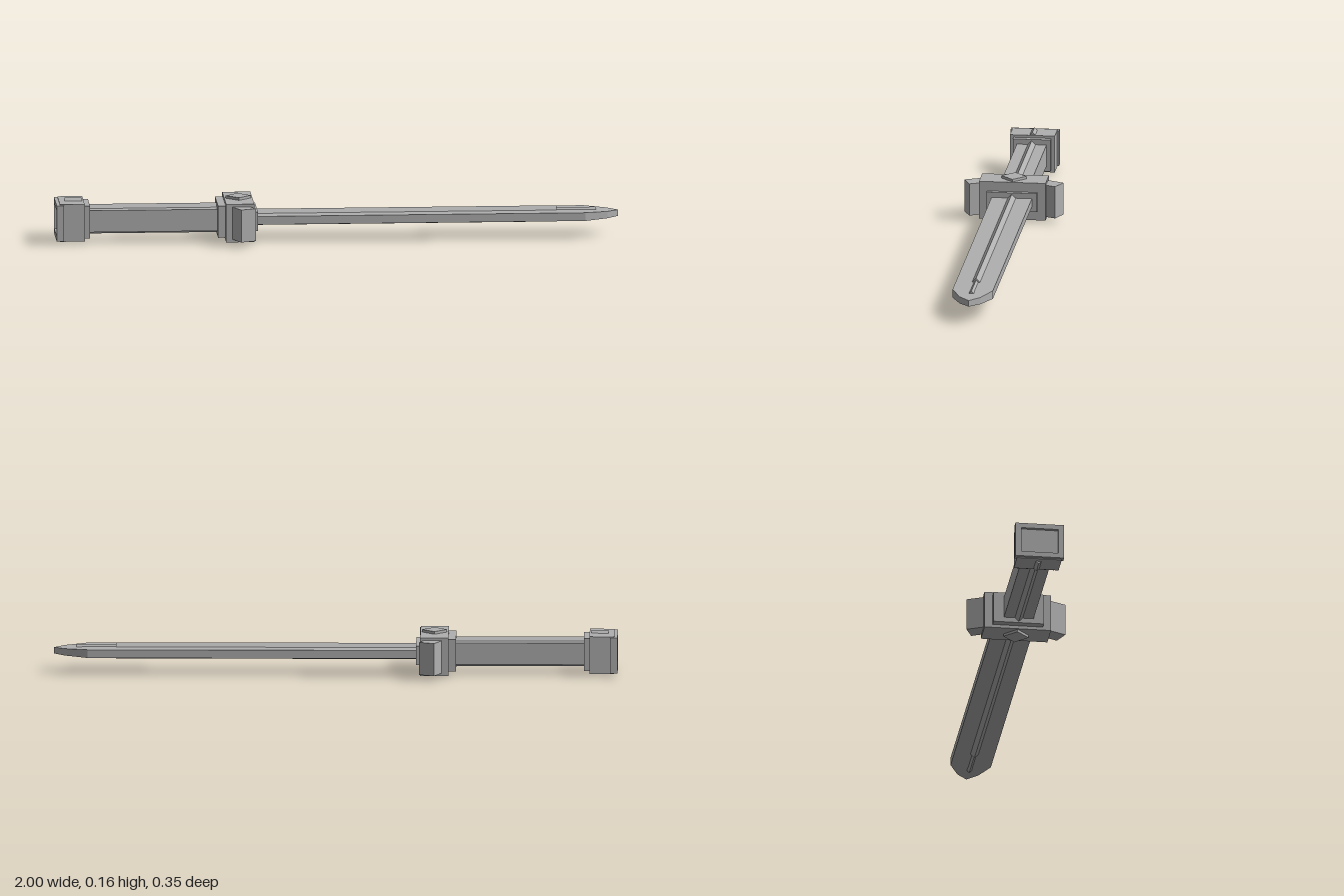
import * as THREE from 'three';

const MID = 0.078; // height of the sword's long axis

export function createModel() {
  const model = new THREE.Group();
  model.name = 'sword';
  const steel = new THREE.MeshStandardMaterial({ color: 0xb0b0b0 });
  steel.name = 'grey steel';

  const add = (name, geometry) => {
    const mesh = new THREE.Mesh(geometry, steel);
    mesh.name = name;
    mesh.position.y = MID;
    model.add(mesh);
    return mesh;
  };
  // Block from x0 to x1 with half height hy and half width hz
  const block = (name, x0, x1, hy, hz) =>
    add(name, new THREE.BoxGeometry(x1 - x0, hy * 2, hz * 2).translate((x0 + x1) / 2, 0, 0));
  // Square bar turned on edge, showing as a ridge above and below
  const ridge = (name, x0, x1, r) => {
    const s = r * Math.SQRT2;
    return add(name, new THREE.BoxGeometry(x1 - x0, s, s).rotateX(Math.PI / 4).translate((x0 + x1) / 2, 0, 0));
  };
  // Flat outline in x and z, thickened to half height hy
  const slab = (name, points, hy) => {
    const shape = new THREE.Shape(points.map(([x, z]) => new THREE.Vector2(x, -z)));
    const g = new THREE.ExtrudeGeometry(shape, { depth: hy * 2, bevelEnabled: false });
    return add(name, g.translate(0, 0, -hy).rotateX(-Math.PI / 2));
  };

  // Blade with a pointed tip that thins towards its end
  const bladeHalf = 0.0148;
  block('blade', -0.3, 0.88, bladeHalf, 0.072);
  const tip = slab('bladeTip', [[0.88, 0.072], [0.96, 0.037], [1, 0], [0.96, -0.037], [0.88, -0.072]], bladeHalf);
  const p = tip.geometry.attributes.position;
  for (let i = 0; i < p.count; i++) {
    p.setY(i, p.getY(i) * (1 - 0.25 * (p.getX(i) - 0.88) / 0.12));
  }
  tip.geometry.computeVertexNormals();
  ridge('bladeRidge', -0.3, 0.78, 0.029);
  ridge('bladeRidgeEnd', 0.78, 0.92, 0.0225);

  // Guard with a collar on each side and a square stud through it
  block('bladeCollar', -0.3, -0.285, 0.034, 0.09);
  block('guard', -0.4, -0.3, 0.0685, 0.119);
  block('gripCollar', -0.427, -0.4, 0.057, 0.09);
  const studSide = 0.045 * Math.SQRT2;
  add('guardStud', new THREE.BoxGeometry(studSide, 0.156, studSide).rotateY(Math.PI / 4).translate(-0.35, 0, 0));

  // Guard arms angled towards the blade
  for (const s of [1, -1]) {
    const arm = [[-0.38, 0.112], [-0.35, 0.177], [-0.297, 0.153], [-0.316, 0.112]];
    slab(s > 0 ? 'leftArm' : 'rightArm', arm.map(([x, z]) => [x, z * s]), 0.0585);
  }

  // Grip
  block('grip', -0.89, -0.42, 0.039, 0.053);
  ridge('gripRidge', -0.89, -0.42, 0.053);

  // Pommel with a ridge and a recessed end frame
  block('pommelCollar', -0.9, -0.88, 0.058, 0.067);
  block('pommel', -0.988, -0.9, 0.067, 0.08);
  ridge('pommelRidge', -0.967, -0.906, 0.077);
  const rect = (Type, w, h) => new Type([[-w, -h], [w, -h], [w, h], [-w, h]].map(([x, y]) => new THREE.Vector2(x, y)));
  const frame = rect(THREE.Shape, 0.087, 0.064);
  frame.holes.push(rect(THREE.Path, 0.066, 0.046));
  add('pommelFrame', new THREE.ExtrudeGeometry(frame, { depth: 0.026, bevelEnabled: false })
    .rotateY(Math.PI / 2).translate(-1, 0, 0));

  return model;
}
